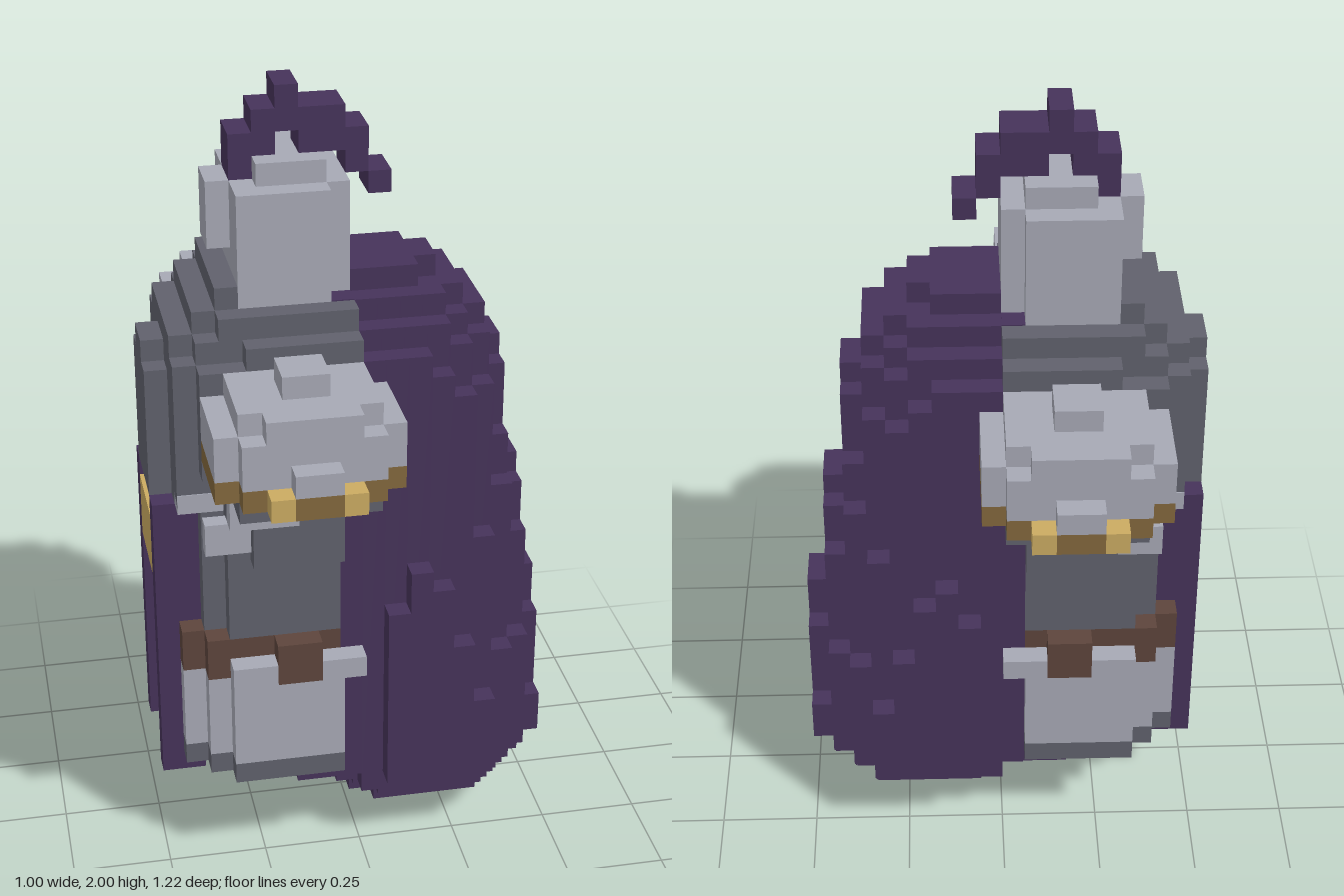
import * as THREE from 'three';
import { mergeGeometries } from 'three/addons/utils/BufferGeometryUtils.js';

const U = 1 / 18; // size of one block

const mat = (name, color) => {
  const m = new THREE.MeshStandardMaterial({ color });
  m.name = name;
  return m;
};

// Block from grid corners: x counted from the chest side, y from the ground, z from the middle
function block(x0, x1, y0, y1, z0, z1) {
  const g = new THREE.BoxGeometry((x1 - x0) * U, (y1 - y0) * U, (z1 - z0) * U);
  g.translate((x0 + x1) / 2 * U - 0.5, (y0 + y1) / 2 * U, (z0 + z1) / 2 * U);
  return g;
}

// Block centred on z = 0
const mid = (x0, x1, y0, y1, h) => block(x0, x1, y0, y1, -h, h);

// Two mirrored blocks
const pair = (x0, x1, y0, y1, z0, z1) =>
  [block(x0, x1, y0, y1, z0, z1), block(x0, x1, y0, y1, -z1, -z0)];

// Rounded cape: column heights per x, from the middle outwards, over a bowl-shaped underside
function capeBlocks() {
  const tops = [
    [5, 5, 5, 5, 5], [5, 5, 5, 5, 5], [18, 18, 18, 18, 18],
    [28, 28, 27, 26, 25], [28, 28, 27, 26, 25, 13], [28, 28, 27, 26, 25, 15],
    [28, 27, 27, 26, 24, 14], [27, 27, 26, 25, 23, 11], [26, 26, 25, 23, 16, 8],
    [24, 23, 20, 18, 10], [18, 17, 15, 10], [12, 10, 6],
  ];
  const bowl = [1, 3.4, 4.4, 5.45];
  return tops.flatMap((column, i) => column.map((top, j) => {
    const r = Math.hypot(i + 6.5 - 12.25, j + 0.5);
    return mid(i + 6, i + 7, bowl.filter(b => r >= b).length, top, j + 1);
  }));
}

export function createModel() {
  const group = new THREE.Group();
  const purple = mat('purple cloth', 0x46335a);
  const light = mat('light steel', 0xa7a9b5);
  const dark = mat('dark steel', 0x60616c);
  const gold = mat('gold', 0xcbab62);
  const bronze = mat('dark gold', 0x83683d);
  const brown = mat('brown leather', 0x5d453c);

  const add = (name, material, ...blocks) => {
    const mesh = new THREE.Mesh(mergeGeometries(blocks.flat()), material);
    mesh.name = name;
    group.add(mesh);
  };

  // Cape with neck edge, and the cloth hanging at the chest side
  add('cape', purple, capeBlocks(), pair(8, 9, 26.5, 27.05, 2, 3));
  add('frontStrips', purple, pair(0, 2, 4, 18, 2, 3), mid(1, 2, 12, 14, 2));

  // Torso, collar and arms
  add('torso', dark,
    mid(2, 8, 12, 21, 4), mid(3, 8, 12, 21, 5),
    mid(0, 9, 18, 24, 2), mid(0, 9, 24, 25, 1),
    mid(1, 9, 18, 25, 4), mid(1, 9, 25, 26, 3),
    mid(2, 9, 20, 25, 5), mid(2, 9, 25, 26, 4), mid(4, 9, 25, 26, 5),
    mid(2, 9, 26, 27, 3), mid(3, 9, 26, 27, 4), mid(3, 4, 27, 28, 3));
  add('arms', dark, pair(4, 8, 16, 20, 5, 6), pair(3, 9, 20, 21, 5, 9));
  add('armPlates', light, pair(2, 5, 16.5, 18, 4.5, 5.3), pair(3, 6, 18, 20, 5, 6.02),
    pair(1, 3, 18, 18.9, 3, 4.05), mid(1, 3, 17, 18, 2));
  add('frontBuckle', gold, mid(0, 3, 14, 17, 2));

  // Skirt, hem and belt
  add('skirtHem', dark, mid(1, 8, 5, 6, 4), mid(2, 8, 5, 6, 5), mid(3, 8, 5, 6, 6));
  add('skirt', light, mid(1, 8, 6, 10, 4), mid(2, 8, 6, 10, 5), mid(3, 8, 6, 10, 6),
    mid(3, 8, 10, 11, 5), pair(3, 5, 10, 11, 5, 6), pair(7, 9, 10, 11, 4, 6));
  add('belt', brown, mid(1, 8, 11, 12, 4), mid(2, 8, 11, 12, 5), mid(1, 2, 10, 11, 4),
    pair(2, 3, 10, 11, 3, 5), pair(5, 7, 10, 12, 5, 6));

  // Shoulder guards
  add('shoulderGuards', light, pair(2, 10, 22, 24, 5, 9), pair(3, 9, 22, 24, 9, 10),
    pair(3, 9, 24, 25, 5, 9), pair(4, 8, 24, 25, 9, 10),
    pair(5, 7, 22, 23, 10, 11), pair(5, 7, 25, 26, 6, 8));
  add('shoulderRims', bronze, pair(2, 10, 21, 22, 5, 9), pair(3, 9, 21, 22, 9, 10),
    pair(5, 7, 21, 22, 10, 11));
  add('shoulderStuds', gold, pair(4, 5, 21, 22, 10, 11), pair(7, 8, 21, 22, 10, 11));

  // Helmet with visor and plume
  add('helmet', light, mid(4, 8, 27, 32, 3), mid(8, 9, 27, 32, 2),
    mid(5, 8, 32, 33, 2), mid(3, 4, 29, 32, 1));
  const plumeBase = [32, 33, 34, 33, 33, 32, 31];
  add('plume', purple, plumeBase.map((y, i) => mid(4 + i, 5 + i, y, y + (i < 6 ? 2 : 1), 1)));

  return group;
}
